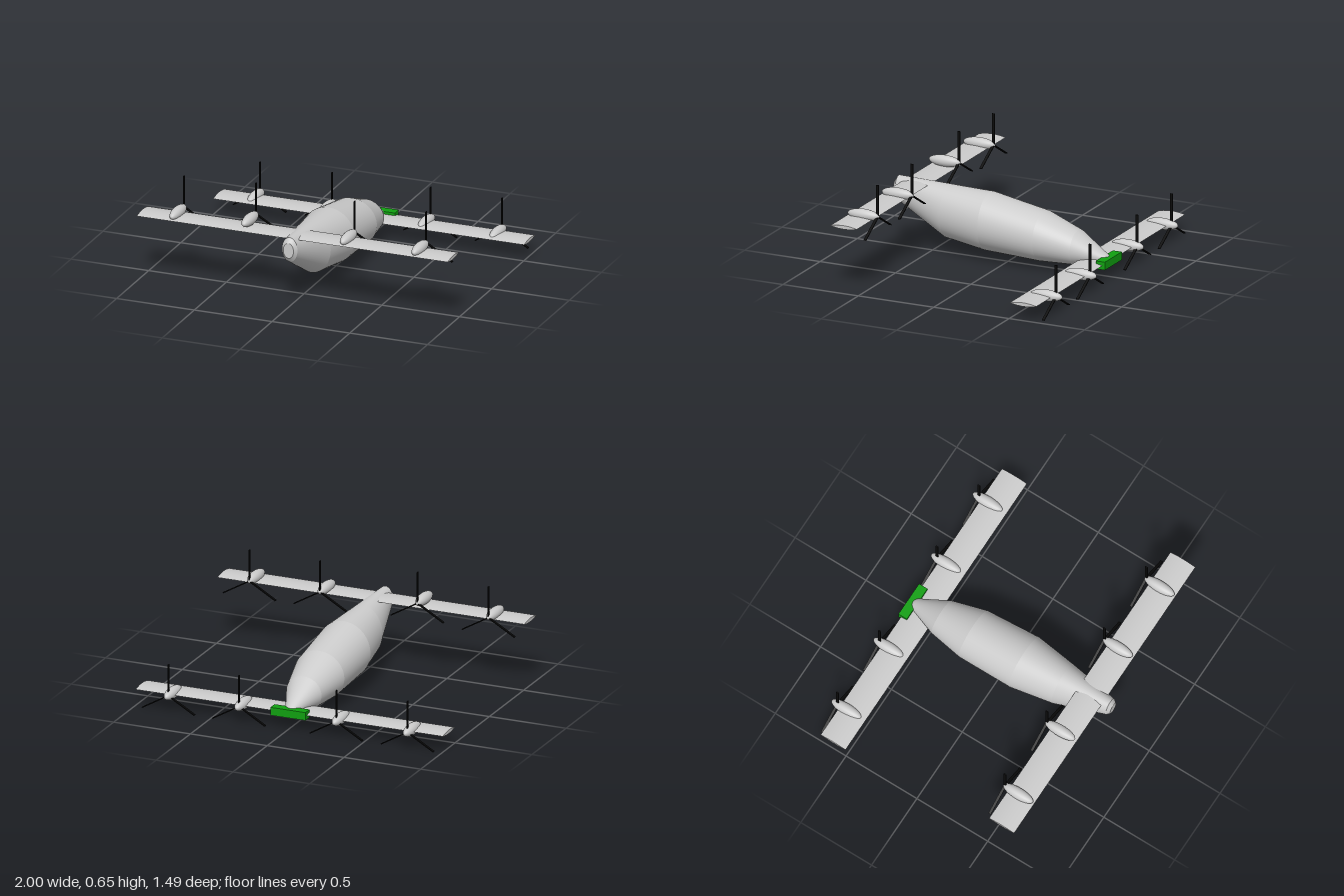
import * as THREE from 'three';
import { toCreasedNormals } from 'three/addons/utils/BufferGeometryUtils.js';

const grey = new THREE.MeshStandardMaterial({ color: 0xcccccc });
const black = new THREE.MeshStandardMaterial({ color: 0x0a0a0a });
const green = new THREE.MeshStandardMaterial({ color: 0x10a010 });

function addMesh(parent, name, geometry, material = grey) {
  const mesh = new THREE.Mesh(geometry, material);
  mesh.name = name;
  parent.add(mesh);
  return mesh;
}

// Fuselage sections from nose to tail: z, top, bottom, half width
const SECTIONS = [
  [0.745, 0.41, 0.315, 0.033],
  [0.725, 0.44, 0.287, 0.05],
  [0.394, 0.428, 0.1, 0.128],
  [0.12, 0.418, 0.06, 0.172],
  [-0.24, 0.35, 0.045, 0.163],
  [-0.465, 0.263, 0.052, 0.115],
  [-0.655, 0.138, 0.083, 0.036],
  [-0.675, 0.122, 0.092, 0.02],
  [-0.68, 0.112, 0.1, 0.008],
];

// Elliptical loft: smooth around, with a crease at each section
function fuselageGeometry(sides = 48) {
  const pos = [], idx = [];
  const ring = ([z, top, bottom, rx]) => {
    const start = pos.length / 3;
    for (let j = 0; j < sides; j++) {
      const a = (j / sides) * Math.PI * 2;
      pos.push(rx * Math.cos(a), (top + bottom) / 2 + ((top - bottom) / 2) * Math.sin(a), z);
    }
    return start;
  };
  for (let i = 0; i < SECTIONS.length - 1; i++) {
    const f = ring(SECTIONS[i]), b = ring(SECTIONS[i + 1]);
    for (let j = 0; j < sides; j++) {
      const k = (j + 1) % sides;
      idx.push(f + j, b + j, f + k, f + k, b + j, b + k);
    }
  }
  // Closed nose and tail
  const nose = ring(SECTIONS[0]), tail = ring(SECTIONS[SECTIONS.length - 1]);
  for (let j = 1; j < sides - 1; j++) {
    idx.push(nose, nose + j, nose + j + 1, tail, tail + j + 1, tail + j);
  }
  const g = new THREE.BufferGeometry();
  g.setAttribute('position', new THREE.Float32BufferAttribute(pos, 3));
  g.setIndex(idx);
  g.computeVertexNormals();
  return g;
}

// Thin lens-shaped aerofoil swept along the span
function wingGeometry(chord = 0.176, span = 2) {
  const h = chord / 2;
  const s = new THREE.Shape();
  s.moveTo(-h, 0);
  s.quadraticCurveTo(0, -0.023, h, 0);
  s.quadraticCurveTo(0, 0.023, -h, 0);
  const g = new THREE.ExtrudeGeometry(s, { depth: span, bevelEnabled: false, curveSegments: 10 });
  g.translate(0, 0, -span / 2).rotateY(Math.PI / 2);
  return toCreasedNormals(g, 0.4);
}

// Motor pod with a three-blade pusher propeller
function motor(name, x, y, z, propZ) {
  const group = new THREE.Group();
  group.name = name;
  group.position.set(x, y, z);
  const pod = new THREE.SphereGeometry(1, 24, 16).rotateX(Math.PI / 2).scale(0.035, 0.035, 0.104);
  addMesh(group, 'motorPod', pod);
  const propeller = new THREE.Group();
  propeller.name = 'propeller';
  propeller.position.z = propZ - z;
  for (let i = 0; i < 3; i++) {
    const blade = new THREE.BoxGeometry(0.006, 0.197, 0.017).translate(0, 0.0985, 0);
    addMesh(propeller, 'propellerBlade', blade, black).rotation.z = (i * Math.PI * 2) / 3;
  }
  group.add(propeller);
  return group;
}

export function createModel() {
  const model = new THREE.Group();
  model.name = 'tandemWingAircraft';

  addMesh(model, 'fuselage', fuselageGeometry());
  addMesh(model, 'frontWing', wingGeometry()).position.set(0, 0.416, 0.598);
  addMesh(model, 'rearWing', wingGeometry()).position.set(0, 0.103, -0.592);

  // Four motors on each wing; the inner right one at the front sits higher
  for (const x of [-0.78, -0.317, 0.317, 0.777]) {
    const frontY = x === -0.317 ? 0.458 : 0.436;
    model.add(motor('frontMotor', x, frontY, 0.575, 0.482));
    model.add(motor('rearMotor', x, 0.104, -0.638, -0.7));
  }

  // Green block across the tail
  addMesh(model, 'tailBlock', new THREE.BoxGeometry(0.228, 0.05, 0.06), green)
    .position.set(0, 0.103, -0.668);

  return model;
}
